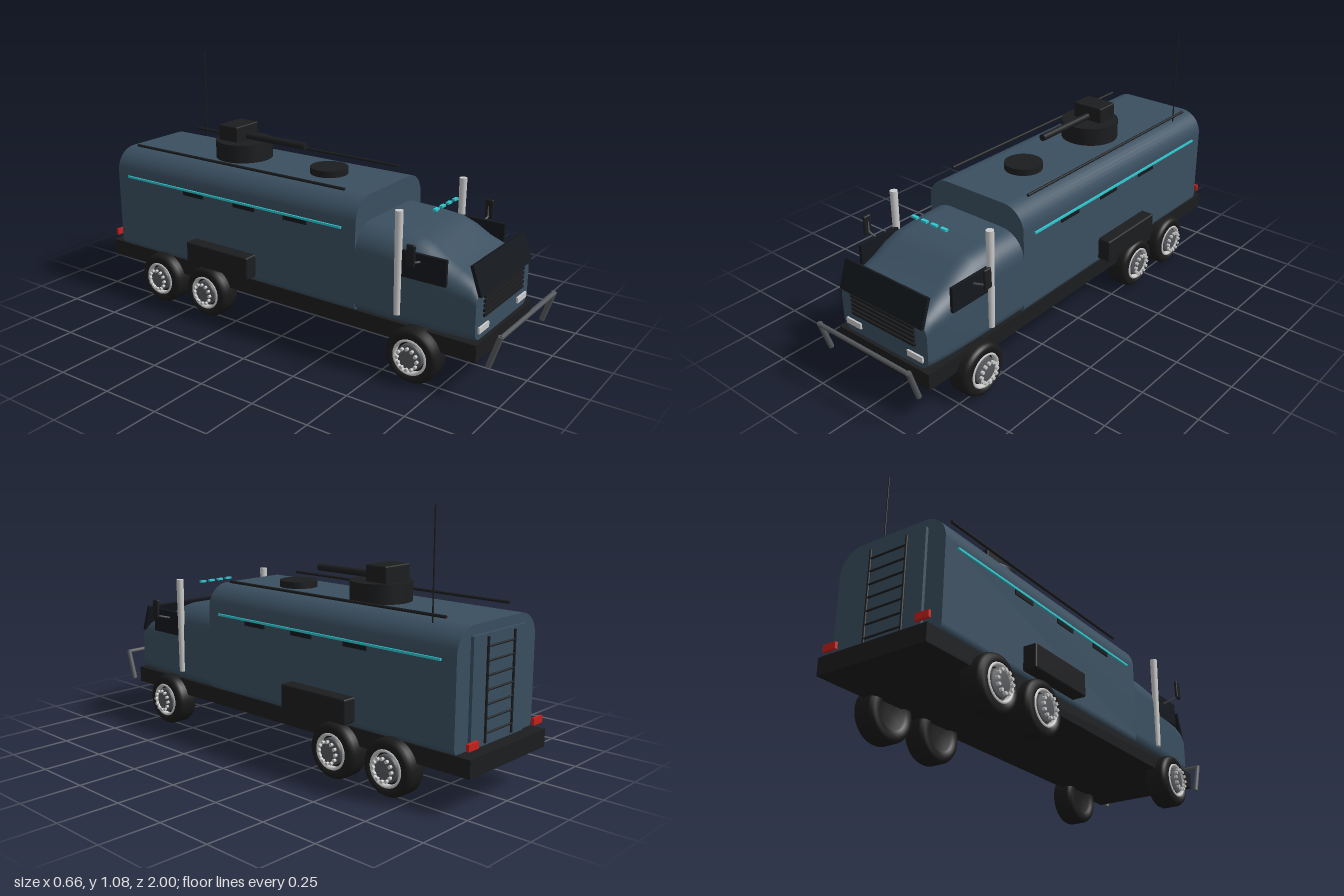
import * as THREE from 'three';
import { RoundedBoxGeometry } from 'three/addons/geometries/RoundedBoxGeometry.js';

const mat = (color) => new THREE.MeshStandardMaterial({ color });

// Closed rounded outline, counter-clockwise seen from +z
function outline(w, y0, y1, rTop, rBot) {
  const pts = [], n = 10;
  const corners = [[1, y0 + rBot, rBot, -90], [1, y1 - rTop, rTop, 0], [-1, y1 - rTop, rTop, 90], [-1, y0 + rBot, rBot, 180]];
  for (const [s, cy, r, start] of corners) {
    for (let i = 0; i <= n; i++) {
      const a = THREE.MathUtils.degToRad(start + 90 * i / n);
      pts.push([s * (w - r) + r * Math.cos(a), cy + r * Math.sin(a)]);
    }
  }
  return pts;
}

// Skin through sections [z, halfWidth, bottom, top, topRadius, bottomRadius], back to front
function loft(sections) {
  const pos = [], idx = [];
  const rings = sections.map(([z, ...s]) => outline(...s).map(([x, y]) => [x, y, z]));
  const n = rings[0].length;
  rings.forEach((ring) => ring.forEach((p) => pos.push(...p)));
  for (let i = 0; i < rings.length - 1; i++) {
    for (let j = 0; j < n; j++) {
      const a = i * n + j, b = i * n + (j + 1) % n;
      idx.push(a, b, b + n, a, b + n, a + n);
    }
  }
  // Flat end caps with their own vertices
  for (const [ring, front] of [[rings[0], false], [rings[rings.length - 1], true]]) {
    const c = pos.length / 3;
    pos.push(0, (ring[0][1] + ring[n / 2][1]) / 2, ring[0][2]);
    ring.forEach((p) => pos.push(...p));
    for (let j = 0; j < n; j++) {
      const a = c + 1 + j, b = c + 1 + (j + 1) % n;
      idx.push(c, ...(front ? [a, b] : [b, a]));
    }
  }
  const g = new THREE.BufferGeometry();
  g.setAttribute('position', new THREE.Float32BufferAttribute(pos, 3));
  g.setIndex(idx);
  g.computeVertexNormals();
  return g;
}

export function createModel() {
  const model = new THREE.Group();
  model.name = 'armouredTruck';
  const paint = mat(0x3a4f60), dark = mat(0x1c1d1f), glass = mat(0x14181d), steel = mat(0x55585c);
  const chrome = mat(0xcccccc), teal = mat(0x2ec8d0), red = mat(0xc8201a), rubber = mat(0x1a1a1a);

  const add = (name, geo, material, x = 0, y = 0, z = 0, parent = model) => {
    const m = new THREE.Mesh(geo, material);
    m.name = name;
    m.position.set(x, y, z);
    parent.add(m);
    return m;
  };
  const box = (name, material, w, h, d, x, y, z, parent) => add(name, new THREE.BoxGeometry(w, h, d), material, x, y, z, parent);
  // Round bar between two points
  const rod = (name, material, a, b, r, parent = model, r2 = r) => {
    const p = new THREE.Vector3(...a), q = new THREE.Vector3(...b), d = q.clone().sub(p);
    const m = add(name, new THREE.CylinderGeometry(r2, r, d.length(), 16), material, 0, 0, 0, parent);
    m.position.copy(p).add(q).multiplyScalar(0.5);
    m.quaternion.setFromUnitVectors(new THREE.Vector3(0, 1, 0), d.normalize());
    return m;
  };

  // Chassis and shells
  box('chassis', dark, 0.49, 0.07, 1.894, 0, 0.182, -0.053);
  add('rearBody', loft([[-0.935, 0.25, 0.21, 0.668, 0.1, 0.03], [0.365, 0.25, 0.21, 0.673, 0.1, 0.03]]), paint);
  add('cab', loft([
    [0.33, 0.25, 0.21, 0.567, 0.11, 0.05],
    [0.48, 0.25, 0.21, 0.563, 0.11, 0.05],
    [0.6, 0.249, 0.21, 0.553, 0.11, 0.05],
    [0.66, 0.247, 0.21, 0.53, 0.105, 0.05],
    [0.72, 0.245, 0.21, 0.493, 0.095, 0.05],
    [0.79, 0.241, 0.21, 0.463, 0.08, 0.05],
    [0.85, 0.235, 0.21, 0.437, 0.06, 0.05],
    [0.878, 0.23, 0.215, 0.41, 0.05, 0.045],
  ]), paint);

  // Cab front
  const shield = box('windshield', glass, 0.44, 0.122, 0.014, 0, 0.454, 0.867);
  shield.rotation.x = -0.33;
  for (let i = 0; i < 5; i++) box('grilleSlat', dark, 0.34, 0.011, 0.016, 0, 0.307 + i * 0.019, 0.879);
  for (let i = 0; i < 4; i++) box('roofLight', teal, 0.03, 0.009, 0.014, -0.0765 + i * 0.051, 0.64, 0.617);

  // Bull bar
  const bar = new THREE.Group();
  bar.name = 'bullBar';
  model.add(bar);
  rod('crossBar', steel, [-0.245, 0.275, 0.987], [0.245, 0.275, 0.987], 0.009, bar);

  // Roof equipment
  add('roofHatch', new THREE.CylinderGeometry(0.08, 0.08, 0.04, 40), dark, 0, 0.68, 0.068);
  const turret = new THREE.Group();
  turret.name = 'turret';
  turret.position.z = -0.39;
  model.add(turret);
  add('turretBase', new THREE.CylinderGeometry(0.125, 0.125, 0.085, 48), dark, 0, 0.706, 0, turret);
  add('turretHead', new RoundedBoxGeometry(0.146, 0.08, 0.105, 2, 0.006), dark, 0, 0.776, -0.032, turret);
  rod('barrel', dark, [0, 0.766, 0], [0, 0.766, 0.335], 0.015, turret);
  rod('antenna', dark, [0.19, 0.655, -0.785], [0.19, 1.075, -0.785], 0.003);

  // Rear door and ladder
  box('rearDoor', paint, 0.34, 0.41, 0.014, 0, 0.425, -0.941);
  for (let i = 0; i < 7; i++) rod('ladderRung', dark, [-0.085, 0.265 + i * 0.053, -0.951], [0.085, 0.265 + i * 0.053, -0.951], 0.004);

  // Parts on both sides
  for (const s of [1, -1]) {
    box('headlight', chrome, 0.08, 0.024, 0.02, s * 0.167, 0.258, 0.876);
    box('taillight', red, 0.06, 0.027, 0.012, s * 0.21, 0.255, -0.983);
    box('doorWindow', glass, 0.014, 0.105, 0.195, s * 0.243, 0.467, 0.663);
    rod('bullBarLeg', steel, [s * 0.242, 0.28, 0.987], [s * 0.242, 0.15, 0.945], 0.011, bar);
    rod('exhaustStack', chrome, [s * 0.252, 0.255, 0.56], [s * 0.254, 0.675, 0.56], 0.013, model, 0.016);
    rod('roofRail', dark, [s * 0.2, 0.69, 0.28], [s * 0.2, 0.69, -0.85], 0.006);
    rod('ladderRail', dark, [s * 0.085, 0.23, -0.951], [s * 0.085, 0.62, -0.951], 0.005);
    box('sideStripe', teal, 0.01, 0.009, 1.17, s * 0.252, 0.551, -0.285);
    for (const z of [0.075, -0.192, -0.475]) box('gunPort', glass, 0.012, 0.018, 0.115, s * 0.249, 0.536, z);
    add('storageBox', new RoundedBoxGeometry(0.07, 0.1, 0.34, 2, 0.007), dark, s * 0.272, 0.288, -0.305);
    // Wing mirror
    rod('mirrorArm', steel, [s * 0.24, 0.487, 0.65], [s * 0.318, 0.508, 0.65], 0.004);
    rod('mirrorBracket', steel, [s * 0.316, 0.505, 0.65], [s * 0.318, 0.56, 0.65], 0.004);
    const mirror = add('mirror', new RoundedBoxGeometry(0.013, 0.083, 0.036, 2, 0.005), dark, s * 0.321, 0.539, 0.652);
    mirror.rotation.z = s * 0.03;
  }

  // Wheels: axis along local y, outer face towards +y
  const profile = (pts) => pts.map(([r, y]) => new THREE.Vector2(r, y));
  const tyreGeo = new THREE.LatheGeometry(profile([
    [0.001, -0.035], [0.065, -0.035], [0.07, -0.048], [0.095, -0.049], [0.106, -0.043], [0.1125, -0.03],
    [0.1125, 0.03], [0.106, 0.043], [0.095, 0.049], [0.074, 0.049], [0.071, 0.03], [0.001, 0.03]]), 48);
  const rimGeo = new THREE.LatheGeometry(profile([[0.062, 0.03], [0.062, 0.046], [0.065, 0.052], [0.072, 0.052], [0.074, 0.047], [0.072, 0.03]].reverse()), 40);
  const hubGeo = new THREE.LatheGeometry(profile([[0.054, 0.03], [0.054, 0.046], [0.05, 0.052], [0.03, 0.052], [0.026, 0.056], [0.001, 0.056]]), 32);
  const boltGeo = new THREE.CylinderGeometry(0.007, 0.007, 0.012, 8);
  for (const s of [1, -1]) {
    for (const z of [0.643, -0.391, -0.664]) {
      const wheel = new THREE.Group();
      wheel.name = 'wheel';
      wheel.position.set(s * 0.243, 0.1125, z);
      wheel.rotation.z = -s * Math.PI / 2;
      model.add(wheel);
      add('tyre', tyreGeo, rubber, 0, 0, 0, wheel);
      add('rim', rimGeo, chrome, 0, 0, 0, wheel).material.side = THREE.DoubleSide;
      add('hub', hubGeo, steel, 0, 0, 0, wheel);
      for (let i = 0; i < 12; i++) {
        const a = i * Math.PI / 6;
        add('wheelBolt', boltGeo, chrome, 0.043 * Math.cos(a), 0.068, 0.043 * Math.sin(a), wheel);
      }
    }
  }
  return model;
}
